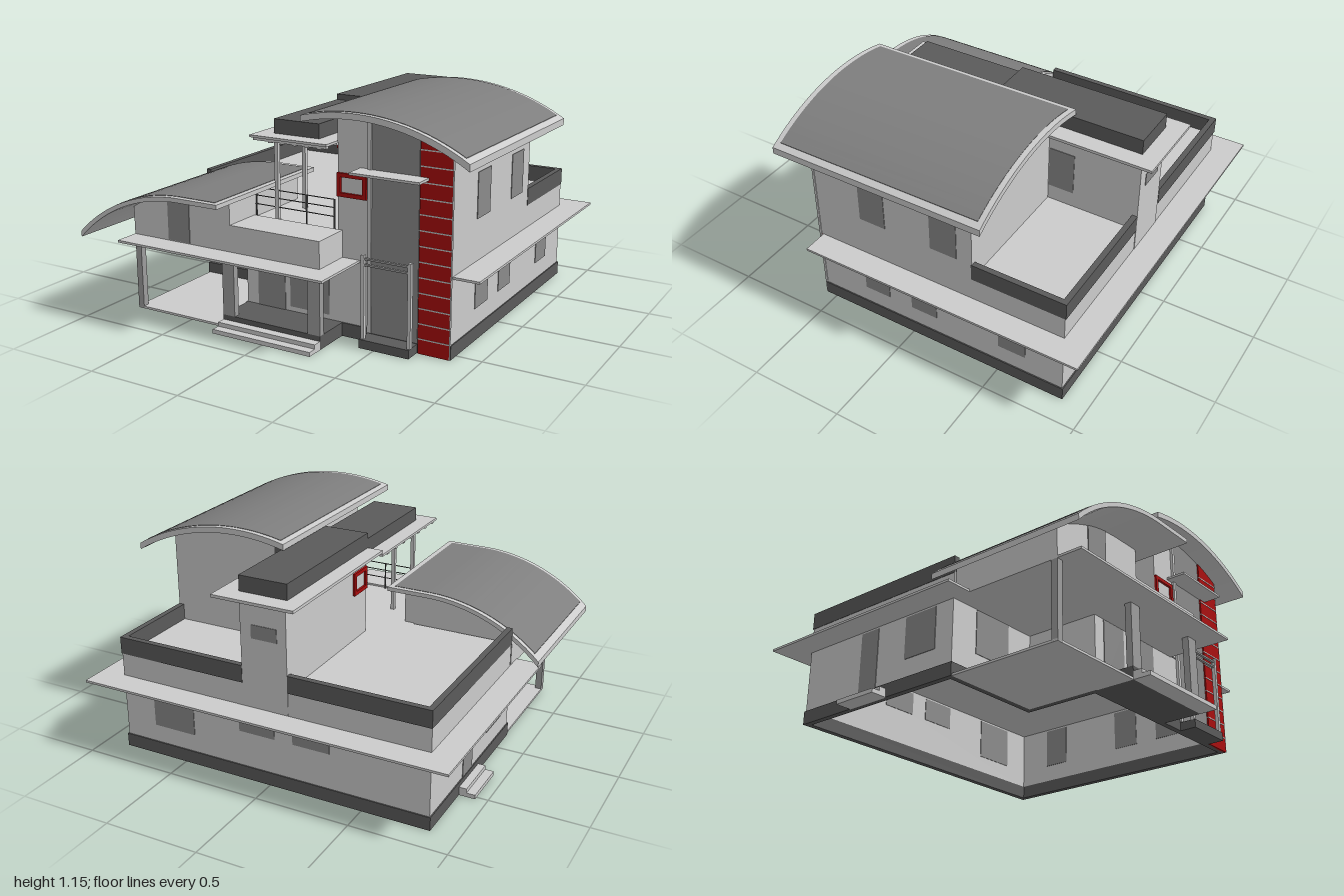
import * as THREE from 'three';

const mat = (color) => new THREE.MeshStandardMaterial({ color });

export function createModel() {
  const house = new THREE.Group();
  const light = mat(0xcccccc), dark = mat(0x5a5a5a), glass = mat(0x8a8a8a), stone = mat(0x9c9c9c);
  const covering = mat(0x7e7e7e), red = mat(0xa80c0c);

  const add = (name, geometry, material, parent = house) => {
    const mesh = new THREE.Mesh(geometry, material);
    mesh.name = name;
    parent.add(mesh);
    return mesh;
  };
  // Box given by its limits on each axis
  const box = (name, x0, x1, y0, y1, z0, z1, material = light, parent = house) => {
    const m = add(name, new THREE.BoxGeometry(x1 - x0, y1 - y0, z1 - z0), material, parent);
    m.position.set((x0 + x1) / 2, (y0 + y1) / 2, (z0 + z1) / 2);
    return m;
  };
  const group = (name) => {
    const g = new THREE.Group();
    g.name = name;
    house.add(g);
    return g;
  };
  // Plan outline (x, z) raised from y0 to y1, optionally hollow (the hole runs the other way round)
  const plan = (name, points, y0, y1, material, inner) => {
    const flat = (pts) => pts.map(([x, z]) => new THREE.Vector2(x, -z));
    const shape = new THREE.Shape(flat(points));
    if (inner) shape.holes.push(new THREE.Path(flat(inner).reverse()));
    const geo = new THREE.ExtrudeGeometry(shape, { depth: y1 - y0, bevelEnabled: false });
    geo.rotateX(-Math.PI / 2).translate(0, y0, 0);
    return add(name, geo, material);
  };
  // Roof curve, shifted by d along its radius; it stays level past xFlat
  const arc = ({ cx, top, r, xFlat }, d, x0, x1, n = 24) => Array.from({ length: n + 1 }, (_, i) => {
    const x = x0 + (x1 - x0) * i / n;
    return new THREE.Vector2(x, top - r + Math.sqrt((r + d) ** 2 - (Math.min(x, xFlat) - cx) ** 2));
  });
  const extrudeZ = (name, pts, z0, z1, material, parent = house) => add(name,
    new THREE.ExtrudeGeometry(new THREE.Shape(pts), { depth: z1 - z0, bevelEnabled: false }).translate(0, 0, z0),
    material, parent);
  // Curved roof sheet with an inset covering
  const archRoof = (name, curve, x0, x1, z0, z1, t) => {
    const g = group(name);
    const sheet = (n, a, b, up, down, za, zb, m) => extrudeZ(n,
      [...arc(curve, up, a, b), ...arc(curve, -down, a, b).reverse()], za, zb, m, g);
    sheet('roofSheet', x0, x1, 0, t, z0, z1, light);
    sheet('roofCovering', x0 + 0.03, x1 - 0.03, 0.002, 0.001, z0 + 0.028, z1 - 0.028, covering);
  };
  // Wall filled up to the underside of an arch
  const archWall = (name, curve, t, x0, x1, y0, z0, z1, material) => extrudeZ(name,
    [new THREE.Vector2(x0, y0), new THREE.Vector2(x1, y0), ...arc(curve, -t, x0, x1).reverse()], z0, z1, material);

  // Ground floor: hollow L-shaped walls, open underneath
  const outline = (d) => [[-0.85 - d, -0.86 - d], [0.86 + d, -0.86 - d], [0.86 + d, 0.555 + d],
    [-0.295 - d, 0.555 + d], [-0.295 - d, 0.15 + d], [-0.85 - d, 0.15 + d]];
  plan('groundFloorWalls', outline(0), 0.06, 0.4, light, outline(-0.02));
  plan('plinth', outline(0.006), 0, 0.07, dark, outline(-0.025));
  plan('floorSlab', [[-0.99, -1], [0.995, -1], [0.995, 0.545], [0.37, 0.545], [0.37, 0.9], [-0.85, 0.9],
    [-0.85, 0.25], [-0.99, 0.25]], 0.395, 0.407, light);

  // Upper storey base and roof terrace
  plan('terraceBase', outline(0), 0.405, 0.535, light);
  const parapet = group('parapet');
  box('parapetLeft', -0.852, -0.822, 0.53, 0.62, -0.865, 0.15, dark, parapet);
  box('parapetBackLeft', -0.822, -0.11, 0.53, 0.62, -0.865, -0.835, dark, parapet);
  box('parapetBackRight', 0.14, 0.832, 0.53, 0.62, -0.865, -0.835, dark, parapet);
  box('parapetRight', 0.832, 0.862, 0.53, 0.62, -0.865, -0.355, dark, parapet);

  // Curved roofs with the rooms under them
  const tall = { cx: 0.4, top: 1.149, r: 1.14, xFlat: 2 }, low = { cx: -0.37, top: 0.718, r: 0.9, xFlat: -0.37 };
  archRoof('tallRoof', tall, 0.12, 0.99, -0.49, 0.68, 0.03);
  archRoof('lowRoof', low, -1, -0.14, 0.15, 1, 0.022);
  archWall('tallBlock', tall, 0.028, 0.25, 0.86, 0.53, -0.36, 0.555, light);
  archWall('lowRoom', low, 0.02, -0.85, -0.24, 0.405, 0.16, 0.767, light);
  archWall('lowRoomWindow', low, 0.022, -0.625, -0.49, 0.412, 0.767, 0.771, glass);

  // Glazed stair front and red panelled strip
  archWall('stairGlass', tall, 0.028, 0.44, 0.69, 0.05, 0.555, 0.562, glass);
  archWall('stairFrame', tall, 0.028, 0.42, 0.44, 0.05, 0.555, 0.57, light);
  archWall('redStrip', tall, 0.028, 0.695, 0.86, 0, 0.555, 0.567, red);
  archWall('redStripEdge', tall, 0.028, 0.86, 0.863, 0, 0.555, 0.568, light);
  const joints = group('redStripJoints');
  for (let i = 1; i <= 13; i++) box('joint', 0.695, 0.862, i * 0.0765 - 0.003, i * 0.0765 + 0.003, 0.56, 0.569, light, joints);
  box('stairCanopy', 0.375, 0.74, 0.855, 0.867, 0.555, 0.665);
  const entry = group('sideEntry');
  box('entryStep', 0.42, 0.69, 0, 0.045, 0.555, 0.65, dark, entry);
  for (const x of [0.425, 0.675]) box('entryPost', x, x + 0.018, 0.045, 0.468, 0.62, 0.64, light, entry);
  for (const y of [0.415, 0.445]) box('entryBeam', 0.443, 0.675, y, y + 0.01, 0.623, 0.637, stone, entry);

  // Stair tower with stepped flat roof
  box('tower', -0.11, 0.14, 0.41, 0.985, -0.863, -0.05);
  box('towerLink', 0.14, 0.25, 0.53, 0.985, -0.36, -0.05);
  box('towerSlab', -0.205, 0.235, 0.985, 1, -0.955, -0.05);
  box('towerRoofBox', -0.12, 0.14, 1, 1.08, -0.86, -0.05, dark);
  box('towerLinkRoof', 0.14, 0.25, 0.985, 1.08, -0.36, -0.05, dark);
  box('pergolaSlab', -0.205, 0.235, 0.965, 0.977, -0.05, 0.635);
  box('pergolaRoofBox', -0.12, 0.14, 0.977, 1.05, -0.05, 0.545, dark);
  const pergola = group('pergola');
  for (let i = 0; i < 7; i++) box('crossBeam', -0.195, 0.225, 0.95, 0.966, 0.03 + i * 0.095, 0.05 + i * 0.095, light, pergola);
  for (let i = 0; i < 5; i++) box('rafter', -0.105 + i * 0.07, -0.085 + i * 0.07, 0.945, 0.966, -0.05, 0.62, light, pergola);
  for (const z of [0.28, 0.53]) box('pergolaPost', -0.118, -0.098, 0.535, 0.95, z, z + 0.02, light, pergola);

  // Balcony and its railing
  box('balcony', -0.265, 0.275, 0.405, 0.545, 0.555, 0.767);
  const railing = group('railing');
  for (const x of [-0.238, 0.06, 0.22]) box('railPost', x, x + 0.006, 0.535, 0.69, 0.54, 0.546, dark, railing);
  for (const y of [0.6, 0.645, 0.686]) box('rail', -0.24, 0.226, y, y + 0.004, 0.541, 0.545, dark, railing);

  // Porch, carport floor, columns and steps
  box('porchFloor', -0.295, 0.275, 0, 0.07, 0.555, 0.767, dark);
  box('carportFloor', -0.85, -0.295, 0, 0.012, 0.155, 0.767);
  for (const [name, x0, x1, y0] of [['carportPost', -0.85, -0.815, 0], ['porchColumnLeft', 0.205, 0.275, 0.07], ['porchColumnRight', -0.295, -0.225, 0.07]])
    box(name, x0, x1, y0, 0.4, 0.732, 0.767, stone);
  for (let i = 0; i < 2; i++) {
    box('frontStep', -0.295, 0.275, 0, 0.022 + 0.022 * i, 0.767, 0.86 - 0.046 * i);
    box('sideStep', -0.94 + 0.045 * i, -0.85, 0, 0.022 + 0.022 * i, -0.52, -0.27);
  }

  // Panes running through the thin walls: facing front/back, or facing the sides
  const paneZ = (name, x0, x1, y0, y1, z, d = 0.003) => box(name, x0, x1, y0, y1, z - d, z + d, glass);
  const paneX = (name, z0, z1, y0, y1, x, d = 0.003) => box(name, x - d, x + d, y0, y1, z0, z1, glass);
  const wall = 0.013;
  paneZ('frontDoor', -0.225, -0.06, 0.07, 0.392, 0.545, wall);
  paneZ('porchWindow', -0.03, 0.2, 0.095, 0.392, 0.545, wall);
  paneZ('carportWindow', -0.69, -0.46, 0.165, 0.392, 0.14, wall);
  for (const z of [0.14, -0.145, -0.655]) paneX('rightWindow', z, z + 0.15, 0.165, 0.385, 0.85, wall);
  for (const z of [0.14, -0.275]) paneX('upperRightWindow', z, z + 0.15, 0.62, 0.85, 0.86);
  paneX('towerSideWindow', -0.505, -0.365, 0.62, 0.85, 0.14);
  paneX('sideDoor', -0.47, -0.35, 0.07, 0.385, -0.84, wall);
  paneX('leftWindow', -0.16, 0.04, 0.165, 0.385, -0.84, wall);
  paneZ('backWindow', 0.44, 0.68, 0.165, 0.385, -0.85, wall);
  for (const x of [-0.33, -0.03]) paneZ('smallBackWindow', x, x + 0.2, 0.26, 0.385, -0.85, wall);
  paneZ('towerBackWindow', -0.06, 0.08, 0.775, 0.845, -0.863);
  paneZ('balconyDoor', 0.1, 0.25, 0.545, 0.85, -0.05);

  // Red window frames
  const redFrame = (name, w, h, x, y, z, turn = 0) => {
    const rect = (c, a, b) => c.moveTo(-a, -b).lineTo(a, -b).lineTo(a, b).lineTo(-a, b).closePath();
    const shape = rect(new THREE.Shape(), w / 2, h / 2);
    shape.holes.push(rect(new THREE.Path(), w / 2 - 0.02, h / 2 - 0.02));
    const m = add(name, new THREE.ExtrudeGeometry(shape, { depth: 0.012, bevelEnabled: false }), red);
    m.position.set(x, y, z);
    m.rotation.y = turn;
  };
  redFrame('tallBlockRedFrame', 0.16, 0.117, 0.33, 0.772, 0.555);
  redFrame('towerFrontRedFrame', 0.15, 0.12, -0.03, 0.843, -0.05);
  redFrame('towerSideRedFrame', 0.14, 0.12, -0.11, 0.843, -0.125, -Math.PI / 2);

  return house;
}
